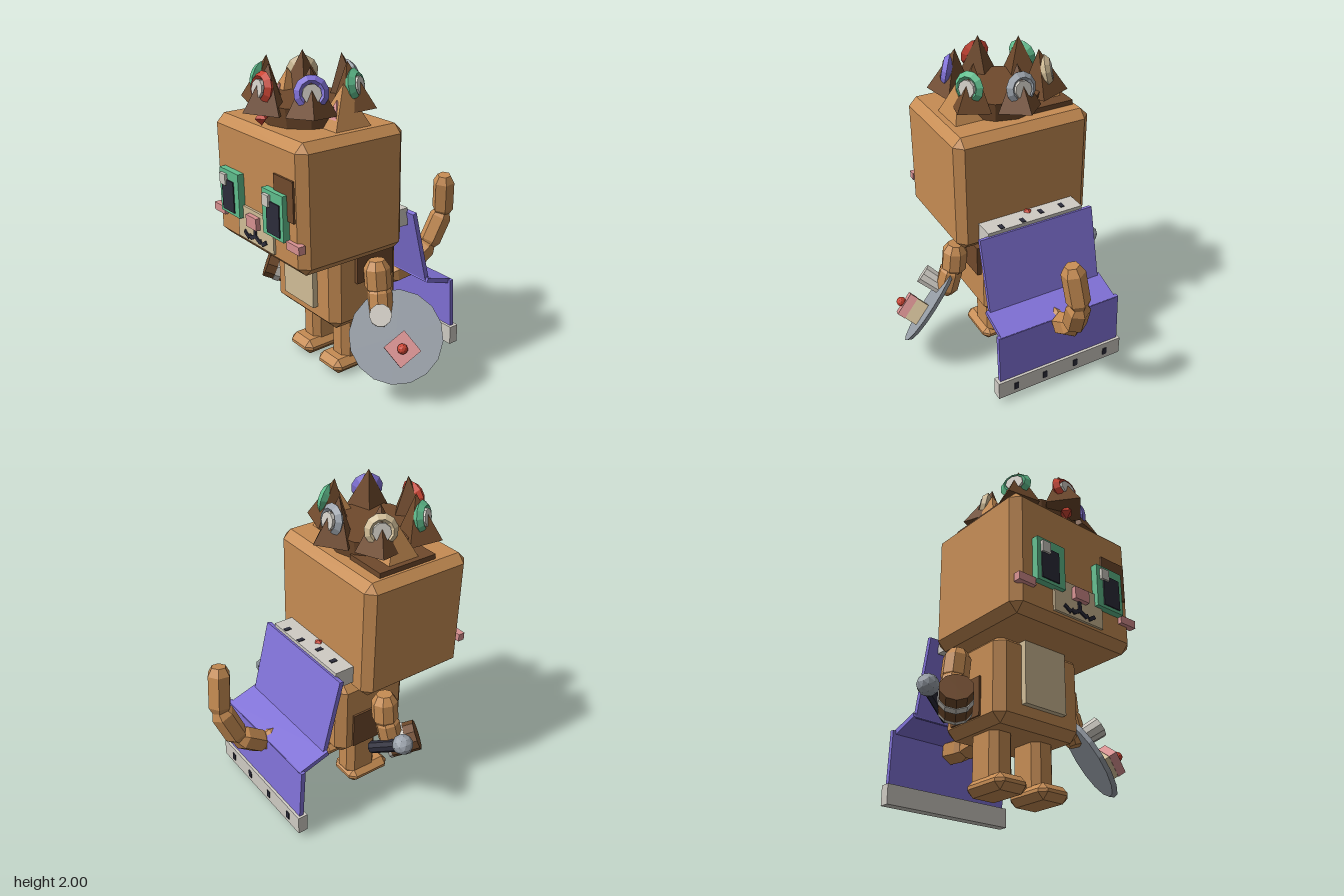
import * as THREE from 'three';
import { ConvexGeometry } from 'three/addons/geometries/ConvexGeometry.js';

const MID = -0.085; // x of the figure's own centre line

export function createModel() {
  const root = new THREE.Group();
  root.name = 'catFigure';
  const mat = (name, color) => {
    const m = new THREE.MeshStandardMaterial({ color });
    m.name = name;
    return m;
  };
  const fur = mat('fur', 0xc68c53), brown = mat('darkBrown', 0x704a2c), cream = mat('cream', 0xd2be98);
  const green = mat('green', 0x60bd8d), navy = mat('navy', 0x2c2c3a), white = mat('offWhite', 0xd0ccc4);
  const pink = mat('pink', 0xd89191), purple = mat('purple', 0x8172d8), grey = mat('steel', 0x9aa1aa);
  const red = mat('red', 0xcb4433);
  const V = (x, y, z) => new THREE.Vector3(x, y, z);
  const UP = V(0, 1, 0);

  // Faceted mesh
  function add(name, geo, material, x = 0, y = 0, z = 0, parent = root) {
    const g = geo.index ? geo.toNonIndexed() : geo;
    g.computeVertexNormals();
    const m = new THREE.Mesh(g, material);
    m.name = name;
    m.position.set(x, y, z);
    parent.add(m);
    return m;
  }
  // Box given by its limits on each axis
  const box = (name, material, x0, x1, y0, y1, z0, z1) =>
    add(name, new THREE.BoxGeometry(x1 - x0, y1 - y0, z1 - z0), material,
      (x0 + x1) / 2, (y0 + y1) / 2, (z0 + z1) / 2);
  // Box with chamfered edges and corners
  function chamferBox(name, material, x0, x1, y0, y1, z0, z1, c) {
    const a = (x1 - x0) / 2, b = (y1 - y0) / 2, d = (z1 - z0) / 2, pts = [];
    for (const i of [-1, 1]) for (const j of [-1, 1]) for (const k of [-1, 1]) {
      pts.push(V(i * a, j * (b - c), k * (d - c)), V(i * (a - c), j * b, k * (d - c)),
        V(i * (a - c), j * (b - c), k * d));
    }
    return add(name, new ConvexGeometry(pts), material, x0 + a, y0 + b, z0 + d);
  }
  // Aim a mesh's y axis from a towards b, centred between them
  function between(m, a, b) {
    m.position.copy(a).lerp(b, 0.5);
    m.quaternion.setFromUnitVectors(UP, b.clone().sub(a).normalize());
    return m;
  }
  // Limb segment with pinched ends
  function limb(name, a, b, r, sides = 6) {
    const h = a.distanceTo(b) / 2, e = Math.min(0.05, h * 0.5);
    const profile = [[0, -h], [r * 0.62, -h], [r, e - h], [r, h - e], [r * 0.62, h], [0, h]];
    const geo = new THREE.LatheGeometry(profile.map((p) => new THREE.Vector2(...p)), sides);
    return between(add(name, geo, fur), a, b);
  }
  function rod(name, material, a, b, r, sides = 8) {
    return between(add(name, new THREE.CylinderGeometry(r, r, a.distanceTo(b), sides), material), a, b);
  }

  // Head and fur patches
  chamferBox('head', fur, -0.55, 0.38, 0.865, 1.645, -0.02, 0.73, 0.053);
  box('foreheadPatch', brown, 0.125, 0.315, 1.19, 1.435, 0.72, 0.742);
  box('crownPatch', brown, -0.48, -0.2, 1.63, 1.677, 0.1, 0.51);
  box('muzzle', cream, -0.275, 0.105, 0.935, 1.145, 0.72, 0.745);
  box('nose', pink, -0.14, -0.03, 1.045, 1.12, 0.74, 0.775);

  // Eyes and cheeks
  for (const [x, shift] of [[-0.425, 0.03], [0.045, 0.05]]) {
    box('eye', green, x, x + 0.21, 1.065, 1.34, 0.72, 0.772);
    box('pupil', navy, x + shift, x + shift + 0.13, 1.085, 1.28, 0.77, 0.779);
    box('eyeGlint', white, x + 0.026, x + 0.088, 1.245, 1.315, 0.77, 0.79);
  }
  for (const x of [-0.545, 0.255]) box('cheek', pink, x, x + 0.122, 1.025, 1.075, 0.71, 0.755);

  // Mouth strokes
  const stroke = (x0, y0, x1, y1) => {
    const m = add('mouth', new THREE.BoxGeometry(Math.hypot(x1 - x0, y1 - y0) + 0.01, 0.024, 0.008),
      navy, MID + (x0 + x1) / 2, (y0 + y1) / 2, 0.749);
    m.rotation.z = Math.atan2(y1 - y0, x1 - x0);
  };
  stroke(0, 1.04, 0, 0.985);
  for (const s of [-1, 1]) {
    stroke(0, 0.99, s * 0.045, 0.965);
    stroke(s * 0.045, 0.965, s * 0.06, 0.975);
    stroke(s * 0.075, 0.96, s * 0.115, 0.985);
  }

  // Ears
  for (const s of [-1, 1]) {
    const ear = add('ear', new THREE.ConeGeometry(0.15, 0.25, 4).rotateY(Math.PI / 4).scale(0.95, 1, 1.2),
      fur, MID + s * 0.28, 1.765, 0.3);
    const inner = add('innerEar', new THREE.ConeGeometry(0.1, 0.16, 4).rotateY(Math.PI / 4), pink,
      MID + s * 0.29, 1.725, 0.355);
    inner.scale.z = 0.9;
    ear.scale.x = 0.95;
  }

  // Crown with six spikes, each carrying a coloured horseshoe
  add('crownBase', new THREE.CylinderGeometry(0.29, 0.27, 0.12, 12), brown, MID, 1.705, 0.355);
  [red, purple, green, grey, cream, green].forEach((colour, i) => {
    const spoke = new THREE.Group();
    spoke.name = 'crownPoint';
    spoke.position.set(MID, 0, 0.355);
    spoke.rotation.y = i * Math.PI / 3;
    root.add(spoke);
    const spike = add('spike', new THREE.ConeGeometry(0.147, 0.28, 4), brown, 0, 1.86, 0.273, spoke);
    spike.rotation.x = -0.13;
    const shoe = add('horseshoe', new THREE.TorusGeometry(0.07, 0.03, 4, 9, Math.PI * 1.56)
      .rotateZ(-Math.PI * 0.28), colour, 0, 1.862, 0.305, spoke);
    shoe.rotation.x = -0.2;
    const inlay = add('inlay', new THREE.CylinderGeometry(0.055, 0.055, 0.03, 9).rotateX(Math.PI / 2),
      white, 0, 1.862, 0.325, spoke);
    inlay.rotation.x = -0.2;
  });
  add('crownGem', new THREE.OctahedronGeometry(0.045), red, MID, 1.695, 0.67);

  // Body and its patches
  chamferBox('body', fur, -0.405, 0.24, 0.36, 0.9, -0.1, 0.42, 0.055);
  box('belly', cream, -0.24, 0.07, 0.48, 0.868, 0.4, 0.455);
  box('leftPatch', brown, 0.22, 0.268, 0.66, 0.87, -0.02, 0.26);
  box('rightPatch', brown, -0.418, -0.38, 0.42, 0.66, 0, 0.26);
  box('backPatch', brown, -0.05, 0.15, 0.45, 0.72, -0.122, -0.08);

  // Legs and arms, mirrored about the centre line
  for (const s of [-1, 1]) {
    const x = MID + s * 0.157;
    chamferBox('leg', fur, x - 0.082, x + 0.082, 0.05, 0.4, 0.05, 0.275, 0.04);
    chamferBox('foot', fur, x - 0.115, x + 0.115, 0, 0.1, 0.05, 0.365, 0.04);
    limb('upperArm', V(MID + s * 0.415, 0.82, 0.165), V(MID + s * 0.44, 0.6, 0.165), 0.083, 8);
  }
  limb('leftForearm', V(0.355, 0.67, 0.165), V(0.41, 0.44, 0.19), 0.078, 8);
  limb('rightForearm', V(-0.525, 0.67, 0.165), V(-0.56, 0.45, 0.2), 0.078, 8);

  // Tail
  const tail = [V(MID, 0.47, -0.02), V(MID, 0.435, -0.28), V(MID, 0.455, -0.47), V(-0.075, 0.57, -0.64),
    V(-0.04, 0.8, -0.735), V(0.0, 1.085, -0.7)];
  for (let i = 0; i < tail.length - 1; i++) {
    const d = tail[i + 1].clone().sub(tail[i]).multiplyScalar(0.06);
    limb('tailSegment', tail[i].clone().sub(d), i === 4 ? tail[i + 1] : tail[i + 1].clone().add(d), 0.082 - i * 0.002);
  }

  // Cape: collar, three folded panels and hem
  box('collar', white, -0.42, 0.25, 0.94, 1.055, -0.15, -0.02);
  [[-0.305, -0.085], [-0.155, -0.085], [-0.005, -0.12], [0.145, -0.12]].forEach(([x, z]) =>
    box('collarSpot', navy, x - 0.014, x + 0.014, 1.05, 1.06, z - 0.022, z + 0.022));
  const fold = [V(MID, 1.02, -0.155), V(MID, 0.55, -0.27), V(MID, 0.49, -0.455), V(MID, 0.12, -0.475)];
  [0.8, 0.84, 0.88].forEach((w, i) => between(
    add('capePanel', new THREE.BoxGeometry(w, fold[i].distanceTo(fold[i + 1]) + 0.025, 0.03), purple),
    fold[i], fold[i + 1]));
  box('capeHem', white, -0.54, 0.375, 0.04, 0.165, -0.505, -0.44);
  for (const x of [-0.42, -0.19, 0.04, 0.25]) box('hemSpot', navy, x - 0.015, x + 0.015, 0.075, 0.125, -0.511, -0.503);
  add('clasp', new THREE.OctahedronGeometry(0.035, 1), red, MID, 1.035, -0.04);

  // Small banded barrel held in the right hand
  const a = V(-0.635, 0.505, 0.34), b = V(-0.53, 0.435, 0.19);
  const at = (t) => a.clone().lerp(b, t);
  rod('barrel', brown, a, b, 0.098, 10);
  rod('barrelBand', white, at(0.35), at(0.55), 0.103, 10);
  rod('barrelBand', white, at(0.92), at(1.02), 0.099, 10);

  // Microphone
  rod('microphoneHandle', navy, V(-0.69, 0.545, 0.16), V(-0.5, 0.43, 0.085), 0.04);
  add('microphoneHead', new THREE.IcosahedronGeometry(0.066, 1), grey, -0.7, 0.555, 0.165);

  // Tray with a cup and a small cake, tilted outwards
  const tray = new THREE.Group();
  tray.name = 'tray';
  tray.position.set(0.53, 0.385, 0.175);
  tray.quaternion.setFromUnitVectors(UP, V(0.64, 0.54, 0.54).normalize());
  root.add(tray);
  const inv = tray.quaternion.clone().invert();
  const cup = V(-0.108, 0.096, 0.031).applyQuaternion(inv), cake = V(0.056, -0.067, 0).applyQuaternion(inv);
  add('plate', new THREE.CylinderGeometry(0.285, 0.265, 0.025, 16), grey, 0, 0, 0, tray);
  add('cup', new THREE.CylinderGeometry(0.068, 0.062, 0.15, 10), white, cup.x, 0.08, cup.z, tray);
  add('cakeBase', new THREE.BoxGeometry(0.15, 0.1, 0.15), cream, cake.x, 0.05, cake.z, tray);
  add('cakeIcing', new THREE.BoxGeometry(0.155, 0.055, 0.155), pink, cake.x, 0.125, cake.z, tray);
  add('cherry', new THREE.IcosahedronGeometry(0.032, 1), red, cake.x, 0.17, cake.z, tray);

  return root;
}
